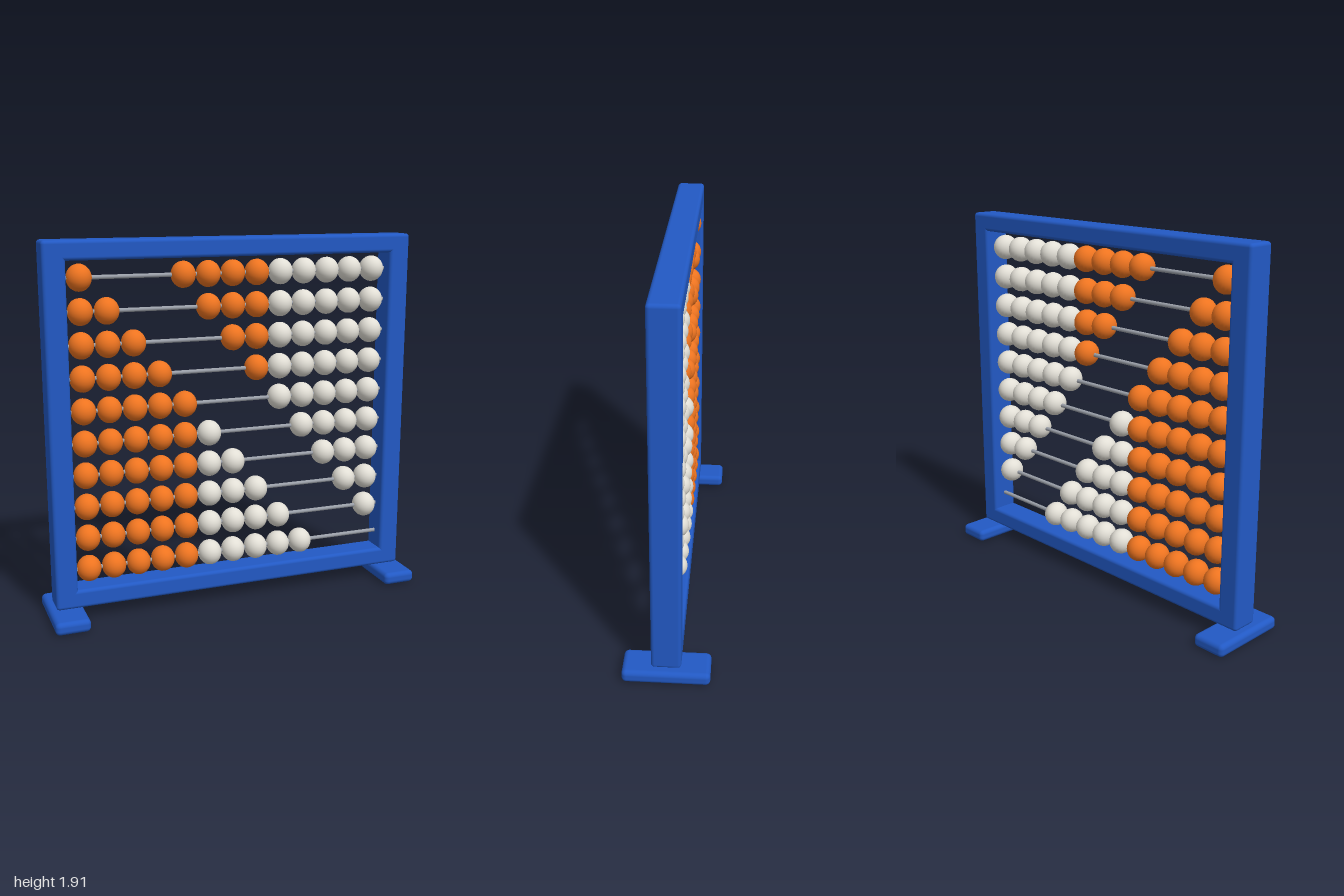
import * as THREE from 'three';
import { RoundedBoxGeometry } from 'three/addons/geometries/RoundedBoxGeometry.js';

const material = (color) => new THREE.MeshStandardMaterial({ color });

export function createModel() {
  const model = new THREE.Group();
  const blue = material(0x2259c4);
  const orange = material(0xee7420);
  const white = material(0xe2dfd6);
  const steel = material(0x9a9fa8);

  function add(parent, name, geometry, mat, x, y, z = 0) {
    const mesh = new THREE.Mesh(geometry, mat);
    mesh.name = name;
    mesh.position.set(x, y, z);
    parent.add(mesh);
    return mesh;
  }

  // Frame: two rails, two posts
  const frame = new THREE.Group();
  frame.name = 'frame';
  model.add(frame);
  const rail = new RoundedBoxGeometry(1.936, 0.096, 0.145, 3, 0.018);
  add(frame, 'topRail', rail, blue, 0, 1.86);
  add(frame, 'bottomRail', rail, blue, 0, 0.12);
  const post = new RoundedBoxGeometry(0.112, 1.834, 0.145, 3, 0.018);
  const foot = new RoundedBoxGeometry(0.177, 0.066, 0.424, 4, 0.024);
  for (const [side, s] of [['left', 1], ['right', -1]]) {
    add(frame, side + 'Post', post, blue, s * 0.912, 0.99);
    add(model, side + 'Foot', foot, blue, s * 0.9115, 0.036 - 0.003);
    // Short peg joining the foot to the frame
    add(model, side + 'FootPeg', new THREE.BoxGeometry(0.07, 0.04, 0.09), blue, s * 0.9, 0.07);
  }

  // Rods with ten beads each: row r has r + 1 beads pushed to the model's right
  const rodGeometry = new THREE.CylinderGeometry(0.0105, 0.0105, 1.74, 12);
  rodGeometry.rotateZ(Math.PI / 2);
  const beadGeometry = new THREE.SphereGeometry(1, 24, 16);
  beadGeometry.rotateZ(Math.PI / 2);
  beadGeometry.scale(0.062, 0.067, 0.067);

  for (let r = 0; r < 10; r++) {
    const row = new THREE.Group();
    row.name = 'row' + (r + 1);
    row.position.y = 1.727 - r * 0.1636;
    model.add(row);
    add(row, 'rod', rodGeometry, steel, 0, 0);
    for (let i = 0; i < 10; i++) {
      const slot = i <= r ? i : i + 3;
      add(row, 'bead' + (i + 1), beadGeometry, i < 5 ? orange : white, (slot - 6) * 0.1304, 0);
    }
  }
  return model;
}
